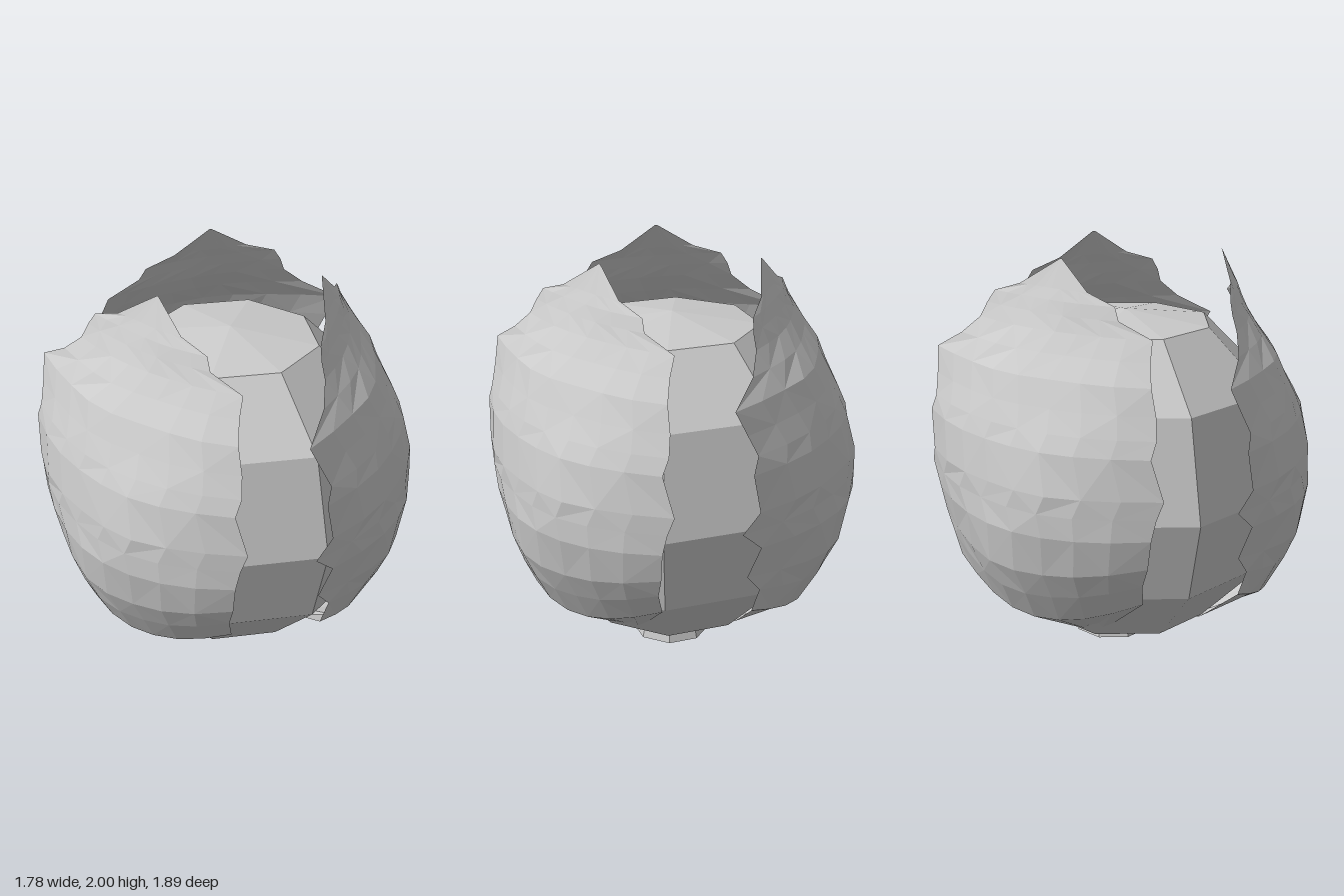
import * as THREE from 'three';

// Ragged leaf outline, bottom to tip: [edge height, left edge, right edge, depth at the middle]
const ROWS = [
  [0.09, -0.14, 0.06, 0.06], [0.12, -0.17, 0.07, 0.40], [0.45, -0.65, 0.45, 0.74],
  [0.57, -0.66, 0.48, 0.835], [0.67, -0.74, 0.52, 0.905], [0.82, -0.73, 0.55, 0.945],
  [0.92, -0.82, 0.57, 0.94], [1.01, -0.76, 0.60, 0.935], [1.20, -0.79, 0.54, 0.895],
  [1.28, -0.75, 0.55, 0.86], [1.38, -0.77, 0.53, 0.81], [1.50, -0.80, 0.49, 0.755],
  [1.60, -0.62, 0.455, 0.68], [1.69, -0.51, 0.44, 0.62], [1.76, -0.48, 0.27, 0.585],
  [1.82, -0.44, 0.24, 0.56], [1.87, -0.29, 0.09, 0.535], [2.00, -0.085, -0.075, 0.48],
];
const COLS = 8;

function leafGeometry() {
  const pos = [], index = [];
  ROWS.forEach(([y, left, right, depth], r) => {
    // Sideways curl: strong around the belly, flatter towards tip and base
    const curl = Math.min(0.62 - 0.3 * (y - 0.85), 0.45 + 0.9 * (y - 0.45));
    // Lower rows sag in the middle, giving a pointed underside
    const sag = r < 2 ? 0 : THREE.MathUtils.clamp((0.85 - y) * 0.4, 0, 0.15);
    for (let c = 0; c <= COLS; c++) {
      const s = c / COLS;
      const inside = r > 1 && r < ROWS.length - 1 ? Math.sin(Math.PI * s) : 0;
      const x = THREE.MathUtils.lerp(left, right, s);
      // Broad shallow lumps
      const lump = 0.012 * Math.sin(9 * x + 0.8) * Math.sin(7 * y + 0.5);
      pos.push(x, y - sag * inside, depth - curl * (x - 0.03) ** 2 + inside * lump);
      if (r && c) {
        const d = r * (COLS + 1) + c, b = d - COLS - 1;
        // Alternate the diagonals for an irregular faceted surface
        if ((r + c) % 2) index.push(b - 1, b, d, b - 1, d, d - 1);
        else index.push(b - 1, b, d - 1, b, d, d - 1);
      }
    }
  });
  const geo = new THREE.BufferGeometry();
  geo.setAttribute('position', new THREE.Float32BufferAttribute(pos, 3));
  geo.setIndex(index);
  geo.computeVertexNormals();
  return geo;
}

export function createModel() {
  const model = new THREE.Group();
  const solid = new THREE.MeshStandardMaterial({ color: 0xcccccc, flatShading: true });
  const thin = new THREE.MeshStandardMaterial({ color: 0xcccccc, flatShading: true, side: THREE.DoubleSide });

  // Eight-sided inner head
  const profile = [[0, 0.1], [0.42, 0.13], [0.73, 0.44], [0.84, 0.84], [0.73, 1.33], [0.43, 1.63], [0, 1.69]];
  const head = new THREE.Mesh(
    new THREE.LatheGeometry(profile.map(([r, y]) => new THREE.Vector2(r, y)), 8, Math.PI / 8), solid);
  head.name = 'head';
  head.position.set(0.03, 0, 0.02);
  model.add(head);

  // Cut stalk underneath
  const stalk = new THREE.Mesh(new THREE.CylinderGeometry(0.165, 0.195, 0.12, 8), solid);
  stalk.name = 'stalk';
  stalk.position.set(0.06, 0.06, -0.045);
  stalk.rotation.y = Math.PI / 8;
  model.add(stalk);

  // Three wrapping outer leaves
  const geo = leafGeometry();
  const leaves = [['frontLeaf', 0.03, 0], ['leftLeaf', -0.015, 0.04], ['rightLeaf', 0.07, 0.02]];
  leaves.forEach(([name, x, z], i) => {
    const leaf = new THREE.Mesh(geo, thin);
    leaf.name = name;
    leaf.position.set(x, 0, z);
    leaf.rotation.y = i * Math.PI * 2 / 3;
    model.add(leaf);
  });

  return model;
}
